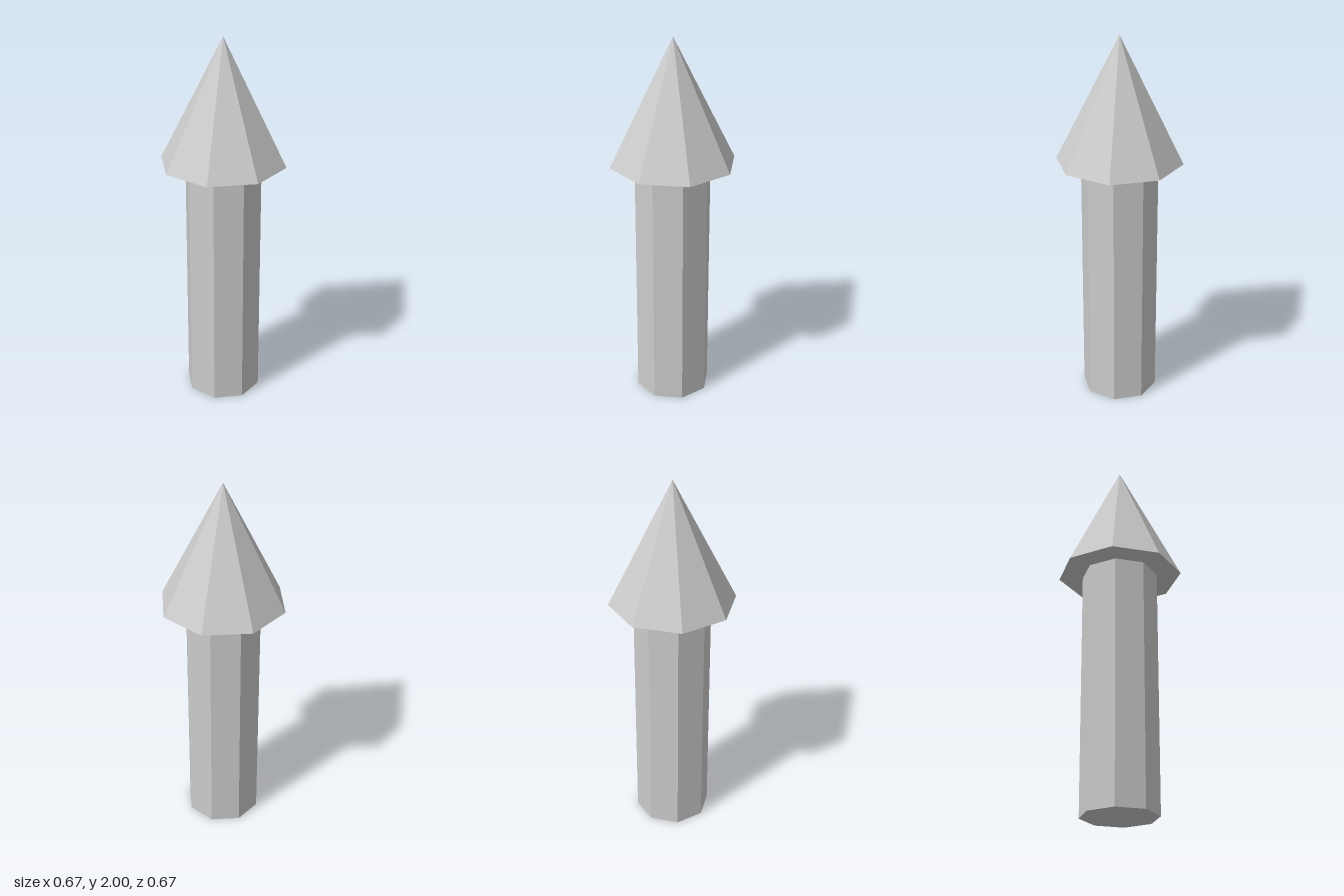
import * as THREE from 'three';

const SIDES = 8;
const SHAFT_RADIUS = 0.203;
const HEAD_RADIUS = 0.333;
const HEAD_BASE = 1.337;
const TOTAL_HEIGHT = 2;

export function createModel() {
  const model = new THREE.Group();
  model.name = 'arrow';
  const material = new THREE.MeshStandardMaterial({ color: 0xcccccc, flatShading: true });

  function addPart(name, geometry, centerY) {
    const mesh = new THREE.Mesh(geometry, material);
    mesh.name = name;
    mesh.position.y = centerY;
    model.add(mesh);
  }

  // Octagonal shaft standing on the ground
  addPart('shaft', new THREE.CylinderGeometry(SHAFT_RADIUS, SHAFT_RADIUS, HEAD_BASE, SIDES), HEAD_BASE / 2);

  // Octagonal pointed head with a flat underside
  const headHeight = TOTAL_HEIGHT - HEAD_BASE;
  addPart('head', new THREE.ConeGeometry(HEAD_RADIUS, headHeight, SIDES), HEAD_BASE + headHeight / 2);

  return model;
}
